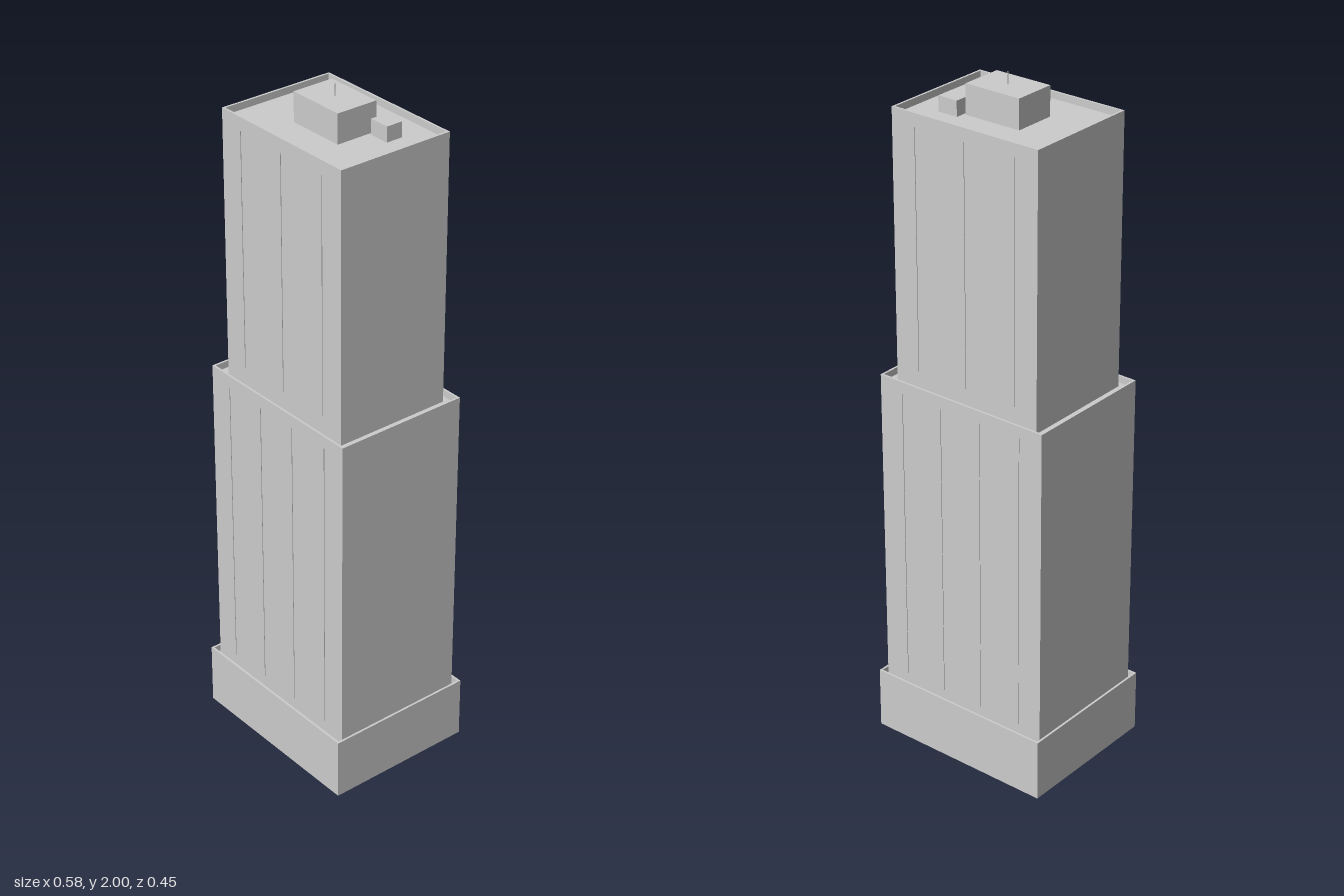
import * as THREE from 'three';

const material = new THREE.MeshStandardMaterial({ color: 0xcccccc });

function add(parent, name, geometry, x, y, z) {
  const mesh = new THREE.Mesh(geometry, material);
  mesh.name = name;
  mesh.position.set(x, y, z);
  parent.add(mesh);
  return mesh;
}

// Box given by its centre in plan and its bottom and top heights
function block(parent, name, x, z, w, d, y0, y1) {
  return add(parent, name, new THREE.BoxGeometry(w, y1 - y0, d), x, (y0 + y1) / 2, z);
}

function rectangle(Type, hw, hd) {
  return new Type([[-hw, -hd], [hw, -hd], [hw, hd], [-hw, hd]].map(([x, y]) => new THREE.Vector2(x, y)));
}

const LIP = 0.0065;   // parapet thickness
const RECESS = 0.02;  // roof depth below the parapet top

// A storey block with a sunken roof framed by a thin parapet
function tier(parent, name, hw, hd, y0, y1) {
  const group = new THREE.Group();
  group.name = name;
  parent.add(group);
  block(group, name + 'Walls', 0, 0, hw * 2, hd * 2, y0, y1 - RECESS);
  const ring = rectangle(THREE.Shape, hw, hd);
  ring.holes.push(rectangle(THREE.Path, hw - LIP, hd - LIP));
  const geometry = new THREE.ExtrudeGeometry(ring, { depth: RECESS, bevelEnabled: false });
  geometry.rotateX(-Math.PI / 2);
  add(group, name + 'Parapet', geometry, 0, y1 - RECESS, 0);
  return group;
}

// Slim vertical ribs on the front and back faces
function ribs(parent, xs, faceZ, y0, y1) {
  for (const side of [1, -1])
    for (const x of xs) block(parent, 'facadeRib', x, side * faceZ, 0.0035, 0.004, y0, y1);
}

export function createModel() {
  const tower = new THREE.Group();
  tower.name = 'tower';

  // Stepped masses
  tier(tower, 'podium', 0.29, 0.2265, 0, 0.185);
  const middle = tier(tower, 'middleTier', 0.278, 0.203, 0.165, 1.13);
  const upper = tier(tower, 'upperTier', 0.24, 0.177, 1.11, 1.9);

  // Facade ribs
  ribs(middle, [-0.202, -0.067, 0.067, 0.202], 0.203, 0.2, 1.095);
  ribs(upper, [-0.164, 0, 0.164], 0.177, 1.165, 1.862);

  // Rooftop plant and mast
  block(tower, 'roofPenthouse', 0, 0, 0.176, 0.126, 1.88, 1.965);
  block(tower, 'roofUnit', 0.126, -0.065, 0.062, 0.05, 1.88, 1.924);
  add(tower, 'mast', new THREE.CylinderGeometry(0.0015, 0.002, 0.035, 6), 0, 1.9825, 0);

  return tower;
}
